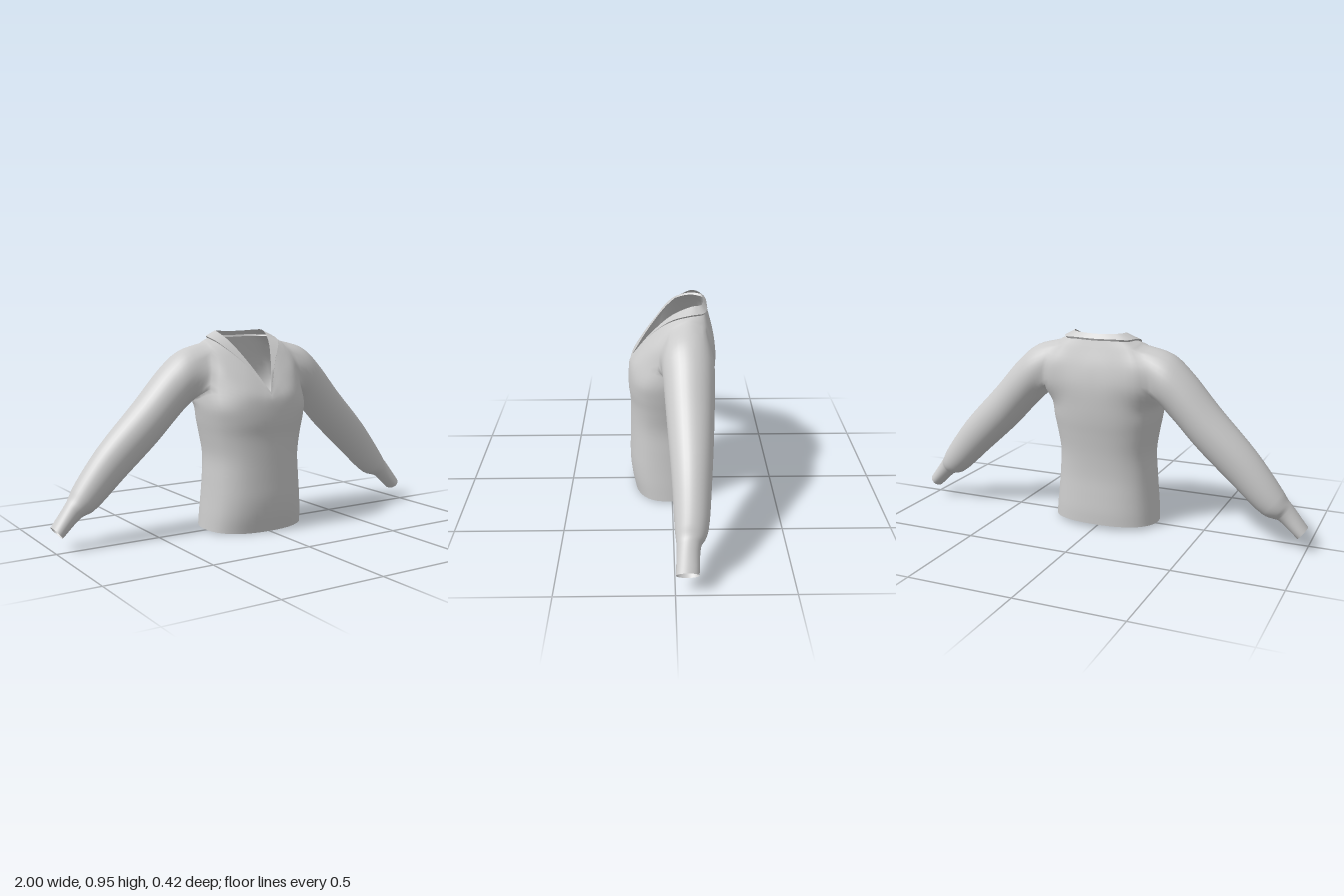
import * as THREE from 'three';
import { mergeVertices, toCreasedNormals } from 'three/addons/utils/BufferGeometryUtils.js';

const V = (x, y, z) => new THREE.Vector3(x, y, z);
const SUB = 4; // subdivisions between control points
const flip = (p) => V(-p.x, p.y, p.z);
const spline = (pts) => new THREE.CatmullRomCurve3(pts, false, 'centripetal');

// Half ring from seven keys, centre front round the +x side to centre back
function halfRing(keys, sharpFront) {
  const before = sharpFront ? keys[0].clone().multiplyScalar(2).sub(keys[1]) : flip(keys[1]);
  const curve = spline([before, ...keys, flip(keys[5])]);
  const n = 6 * SUB;
  return Array.from({ length: n + 1 }, (_, i) => {
    const p = curve.getPoint((1 + i / SUB) / 8);
    if (i === 0 || i === n) p.x = 0;
    return p;
  });
}

// Body ring: half width, front depth, back depth, forward dip of the hem
const ANGLES = [0, 32, 62, 95, 125, 152, 180];
function bodyKeys([y, w, zf, zb, dip = 0]) {
  return ANGLES.map((deg) => {
    const a = THREE.MathUtils.degToRad(deg), c = Math.cos(a);
    const x = deg === 180 ? 0 : w * Math.pow(Math.sin(a), 0.85);
    return V(x, y - dip * c, (c > 0 ? zf : zb) * Math.pow(Math.abs(c), 0.85));
  });
}

// Smooth rings lengthwise, column by column
function refine(rings) {
  const rows = (rings.length - 1) * SUB;
  const curves = rings[0].map((_, c) => spline(rings.map((r) => r[c])));
  return Array.from({ length: rows + 1 }, (_, r) => curves.map((k) => k.getPoint(r / rows)));
}

// Triangle corners of a grid of rings, optionally leaving cells out
function skin(rings, closed, skip = () => false) {
  const out = [], n = rings[0].length;
  for (let r = 0; r < rings.length - 1; r++) {
    for (let c = 0; c < (closed ? n : n - 1); c++) {
      if (skip(r, c)) continue;
      const d = (c + 1) % n;
      const a = rings[r][c], b = rings[r][d], e = rings[r + 1][d], f = rings[r + 1][c];
      out.push(a, b, e, a, e, f);
    }
  }
  return out;
}

// Mirrored triangles with their winding reversed
function mirror(tris) {
  const out = [];
  for (let i = 0; i < tris.length; i += 3) out.push(flip(tris[i]), flip(tris[i + 2]), flip(tris[i + 1]));
  return out;
}

const toGeometry = (tris) => mergeVertices(new THREE.BufferGeometry().setFromPoints(tris), 1e-5);

export function createModel() {
  const group = new THREE.Group();
  const material = new THREE.MeshStandardMaterial({ color: 0xcccccc, side: THREE.DoubleSide });
  const add = (name, geometry) => {
    const mesh = new THREE.Mesh(geometry, material);
    mesh.name = name;
    group.add(mesh);
  };

  // Body from hem to bust
  const body = [
    [0.01, 0.264, 0.182, -0.183, 0.01],
    [0.08, 0.258, 0.198, -0.183],
    [0.16, 0.25, 0.205, -0.178],
    [0.25, 0.243, 0.203, -0.173],
    [0.36, 0.238, 0.2, -0.178],
    [0.46, 0.254, 0.2, -0.19],
    [0.53, 0.268, 0.208, -0.2],
    [0.6, 0.279, 0.207, -0.206],
  ].map((p) => halfRing(bodyKeys(p), false));
  const armRow = body.length * SUB;

  // Chest, shoulder and yoke rings, tilting up from the V to the shoulders
  const upper = [
    [V(0, 0.635, 0.204), V(0.14, 0.665, 0.175), V(0.255, 0.69, 0.07), V(0.285, 0.64, -0.05),
      V(0.26, 0.69, -0.165), V(0.13, 0.7, -0.2), V(0, 0.7, -0.208)],
    [V(0, 0.65, 0.2), V(0.12, 0.73, 0.143), V(0.24, 0.78, 0.055), V(0.29, 0.76, -0.06),
      V(0.25, 0.79, -0.172), V(0.13, 0.79, -0.19), V(0, 0.79, -0.196)],
    [V(0, 0.66, 0.195), V(0.1, 0.785, 0.107), V(0.215, 0.86, 0.01), V(0.215, 0.898, -0.075),
      V(0.2, 0.875, -0.148), V(0.12, 0.87, -0.17), V(0, 0.87, -0.174)],
    [V(0, 0.665, 0.193), V(0.085, 0.8, 0.097), V(0.165, 0.89, 0), V(0.175, 0.915, -0.085),
      V(0.15, 0.915, -0.14), V(0.09, 0.917, -0.158), V(0, 0.915, -0.161)],
  ].map((k) => halfRing(k, true));
  const torso = refine([...body, ...upper]);

  // The armhole is a patch left out of the torso
  const c0 = 2 * SUB, c1 = 4 * SUB, r0 = armRow, r1 = armRow + 2 * SUB;
  const torsoHalf = skin(torso, false, (r, c) => r >= r0 && r < r1 && c >= c0 && c < c1);

  // Armhole edge, from the shoulder top forward, down, back and up again
  const mid = 3 * SUB, edge = [];
  for (let c = mid; c > c0; c--) edge.push(torso[r1][c]);
  for (let r = r1; r > r0; r--) edge.push(torso[r][c0]);
  for (let c = c0; c < c1; c++) edge.push(torso[r0][c]);
  for (let r = r0; r < r1; r++) edge.push(torso[r][c1]);
  for (let c = c1; c > mid; c--) edge.push(torso[r1][c]);

  // Sleeve rings: top x, y, underside x, y, back z, front z; the last three are the cuff
  const sleeveRings = [
    [0.34, 0.862, 0.325, 0.6, -0.186, 0.048],
    [0.43, 0.79, 0.385, 0.54, -0.184, 0.04],
    [0.57, 0.635, 0.475, 0.445, -0.177, 0.028],
    [0.76, 0.435, 0.645, 0.29, -0.16, 0.01],
    [0.885, 0.268, 0.8, 0.155, -0.14, 0],
    [0.907, 0.23, 0.845, 0.14, -0.125, -0.004],
    [0.925, 0.207, 0.868, 0.132, -0.108, -0.006],
    [1, 0.107, 0.957, 0.055, -0.098, -0.002],
  ].map(([tx, ty, ux, uy, zb, zf]) => edge.map((_, j) => {
    const a = (j / edge.length) * Math.PI * 2, c = Math.cos(a);
    return V((tx + ux) / 2 + (c * (tx - ux)) / 2, (ty + uy) / 2 + (c * (ty - uy)) / 2,
      (zf + zb) / 2 + (Math.sin(a) * (zf - zb)) / 2);
  }));
  const sleeve = skin(refine([edge, ...sleeveRings]), true);

  // Shade as one surface so the shoulder seams stay smooth, then split into parts
  const parts = [
    ['torso', [...torsoHalf, ...mirror(torsoHalf)]],
    ['leftSleeve', sleeve],
    ['rightSleeve', mirror(sleeve)],
  ];
  const whole = toGeometry(parts.flatMap((p) => p[1]));
  whole.computeVertexNormals();
  const index = Array.from(whole.index.array);
  let start = 0;
  for (const [name, tris] of parts) {
    const geometry = whole.clone();
    geometry.setIndex(index.slice(start, start + tris.length));
    start += tris.length;
    add(name, geometry);
  }

  // Collar band: a small raised lip, then up to the neck opening
  const base = torso[torso.length - 1];
  const lip = base.map((p, i) => {
    const s = Math.min(1, i / (2 * SUB));
    return V(p.x * (1 + 0.04 * s), p.y + 0.009 * s, p.z - 0.004 * s);
  });
  const neck = halfRing([V(0, 0.67, 0.19), V(0.058, 0.795, 0.102), V(0.11, 0.903, 0), V(0.132, 0.95, -0.09),
    V(0.115, 0.95, -0.127), V(0.07, 0.947, -0.142), V(0, 0.945, -0.147)], true);
  const collarHalf = skin([base, lip, neck], false);
  add('collar', toCreasedNormals(toGeometry([...collarHalf, ...mirror(collarHalf)]), 0.6));

  return group;
}
